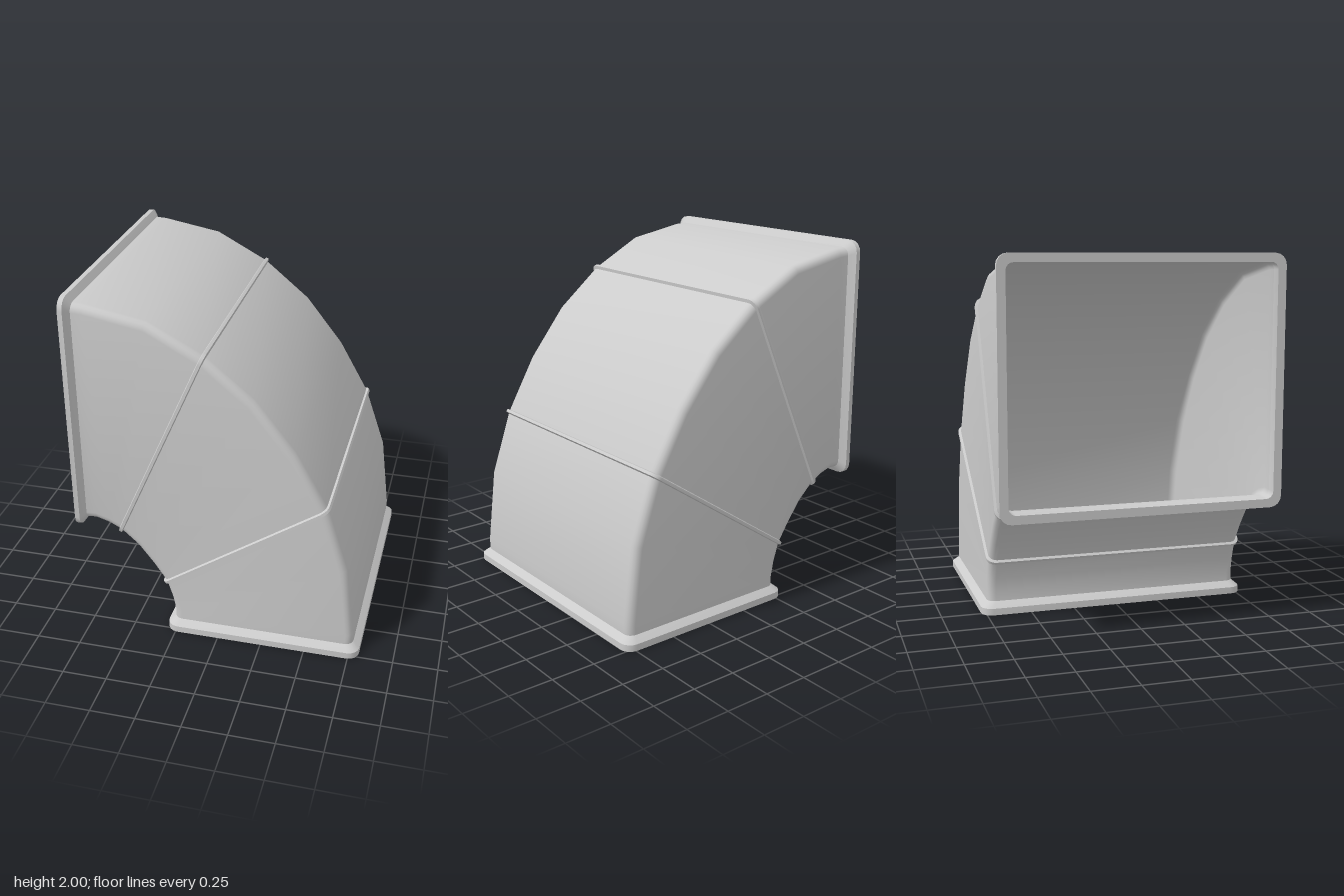
import * as THREE from 'three';
import { toCreasedNormals } from 'three/addons/utils/BufferGeometryUtils.js';

const HALF_WIDTH = 0.74, WALL = 0.01, CORNER = 0.045, ARC = 4;

// Duct stations from the back mouth to the bottom mouth: [throat x, y, heel x, y]
const stations = [
  [-0.755, 0.673, -0.755, 1.963], [-0.7, 0.675, -0.7, 1.96],
  [-0.63, 0.653, -0.365, 1.9], [-0.563, 0.618, -0.065, 1.74],
  [-0.467, 0.53, 0.2, 1.52], [-0.385, 0.42, 0.42, 1.24],
  [-0.313, 0.31, 0.598, 0.925], [-0.28, 0.205, 0.722, 0.56],
  [-0.264, 0.12, 0.772, 0.13], [-0.265, 0.07, 0.77, 0.07],
];
const backMouth = [-0.81, 0.673, -0.81, 1.963];
const bottomMouth = [-0.265, 0, 0.77, 0];

// Rounded rectangle across the duct, shifted along the flow and grown outward
function ring([px, py, qx, qy], along = 0, grow = 0) {
  const z = new THREE.Vector3(0, 0, 1);
  const u = new THREE.Vector3(qx - px, qy - py, 0);
  const halfDepth = u.length() / 2 + grow, halfWidth = HALF_WIDTH + grow;
  u.normalize();
  const flow = u.clone().cross(z);
  const centre = new THREE.Vector3((px + qx) / 2, (py + qy) / 2, 0).addScaledVector(flow, along);
  const r = CORNER + grow * 0.5;
  const points = [];
  [[1, 1], [-1, 1], [-1, -1], [1, -1]].forEach(([su, sz], corner) => {
    for (let i = 0; i <= ARC; i++) {
      const a = (corner + i / ARC) * Math.PI / 2;
      points.push(centre.clone()
        .addScaledVector(u, su * (halfDepth - r) + r * Math.cos(a))
        .addScaledVector(z, sz * (halfWidth - r) + r * Math.sin(a)));
    }
  });
  return points;
}

// Skin a row of rings; a closed row joins its last ring to its first
function loft(name, rings, closed = false) {
  const n = rings[0].length, index = [];
  const geometry = new THREE.BufferGeometry().setFromPoints(rings.flat());
  const spans = closed ? rings.length : rings.length - 1;
  for (let s = 0; s < spans; s++) {
    const a = s * n, b = ((s + 1) % rings.length) * n;
    for (let i = 0; i < n; i++) {
      const j = (i + 1) % n;
      index.push(a + i, a + j, b + j, a + i, b + j, b + i);
    }
  }
  geometry.setIndex(index);
  const mesh = new THREE.Mesh(
    toCreasedNormals(geometry, THREE.MathUtils.degToRad(32)),
    new THREE.MeshStandardMaterial({ color: 0xcccccc }),
  );
  mesh.name = name;
  return mesh;
}

// Closed band around the duct from an [along, grow] profile
const band = (name, station, profile) =>
  loft(name, profile.map(([along, grow]) => ring(station, along, grow)), true);

export function createModel() {
  const group = new THREE.Group();
  group.name = 'ductElbow';

  // Sheet walls: outside skin and inside lining
  group.add(loft('ductOuterSkin', stations.map(s => ring(s))));
  group.add(loft('ductInnerLining', stations.map(s => ring(s, 0, -WALL)).reverse()));

  // Raised joints between the three bend segments
  [3, 6].forEach((k, i) => group.add(band(`seamRib${i + 1}`, stations[k],
    [[-0.014, -0.004], [-0.008, 0.014], [0.008, 0.014], [0.014, -0.004]])));

  // Mouth flanges with a sloped shoulder
  group.add(band('backFlange', backMouth,
    [[0, -WALL], [0, 0.037], [0.027, 0.037], [0.055, 0], [0.055, -WALL]]));
  group.add(band('bottomFlange', bottomMouth,
    [[-0.07, -WALL], [-0.07, 0], [-0.038, 0.037], [0, 0.037], [0, -WALL]]));
  return group;
}
